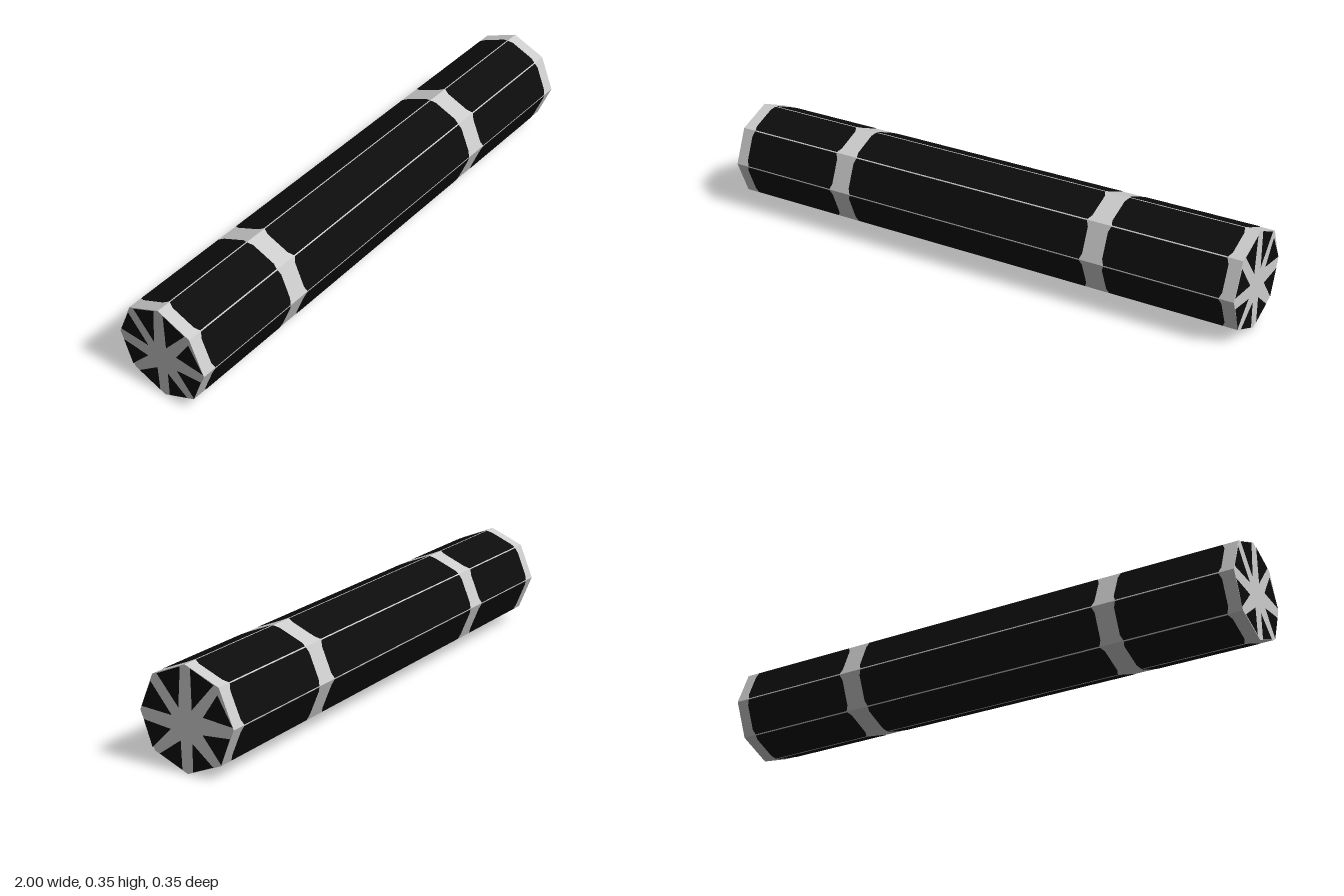
import * as THREE from 'three';

const R = 0.177, SIDES = 8, LIFT = 0.0012;
const APOTHEM = R * Math.cos(Math.PI / SIDES);
const SIDE = 2 * R * Math.sin(Math.PI / SIDES);

// Flat panel from x0 to x1 with slightly clipped corners
function panelGeometry(x0, x1) {
  const h = SIDE / 2 - 0.002, c = 0.008, d = 0.02;
  const s = new THREE.Shape([
    [x0 + c, -h], [x1 - c, -h], [x1, -h + d], [x1, h - d],
    [x1 - c, h], [x0 + c, h], [x0, h - d], [x0, -h + d],
  ].map(([x, y]) => new THREE.Vector2(x, y)));
  return new THREE.ShapeGeometry(s).translate(0, 0, APOTHEM + LIFT);
}

// Dark wedges between the spokes of an end cap: two rim corners and an apex
const wedges = [
  [0.021, 0.345, 0.107, 0.307, 0.023, 0.212],
  [0.120, 0.278, 0.174, 0.185, 0.064, 0.196],
  [0.163, 0.147, 0.128, 0.056, 0.061, 0.139],
  [0.098, 0.042, 0.021, 0.010, 0.021, 0.104],
  [-0.020, 0.010, -0.106, 0.046, -0.023, 0.106],
  [-0.133, 0.061, -0.164, 0.148, -0.060, 0.136],
  [-0.171, 0.190, -0.132, 0.278, -0.054, 0.182],
  [-0.107, 0.307, -0.017, 0.345, -0.028, 0.212],
];

export function createModel() {
  const light = new THREE.MeshStandardMaterial({ color: 0xcccccc });
  light.name = 'light grey';
  light.flatShading = true;
  const black = new THREE.MeshStandardMaterial({ color: 0x0c0c0c });
  black.name = 'black';

  const model = new THREE.Group();
  model.name = 'octagonalBar';
  const add = (name, geometry, material, parent = model) => {
    const mesh = new THREE.Mesh(geometry, material);
    mesh.name = name;
    parent.add(mesh);
    return mesh;
  };

  // Eight-sided bar lying along x; it shows as the bands and end spokes
  add('bar', new THREE.CylinderGeometry(R, R, 2, SIDES).rotateZ(-Math.PI / 2), light).position.y = R;

  // Three rows of dark panels on every side
  const rows = [['rightPanel', -0.955, -0.57], ['middlePanel', -0.498, 0.45], ['leftPanel', 0.525, 0.955]];
  for (const [name, x0, x1] of rows) {
    const geometry = panelGeometry(x0, x1);
    for (let k = 0; k < SIDES; k++) {
      const panel = add(name, geometry, black);
      panel.rotation.x = (k + 0.5) * 2 * Math.PI / SIDES;
      panel.position.y = R;
    }
  }

  // Dark wedges on both ends
  const shapes = wedges.map(([a, b, c, d, e, f]) => new THREE.Shape([
    new THREE.Vector2(a, b), new THREE.Vector2(c, d), new THREE.Vector2(e, f),
  ]));
  const wedgeGeometry = new THREE.ShapeGeometry(shapes);
  for (const side of [1, -1]) {
    const end = add(side > 0 ? 'leftEndWedges' : 'rightEndWedges', wedgeGeometry, black);
    end.rotation.y = side * Math.PI / 2;
    end.position.x = side * (1 + LIFT);
  }
  return model;
}
